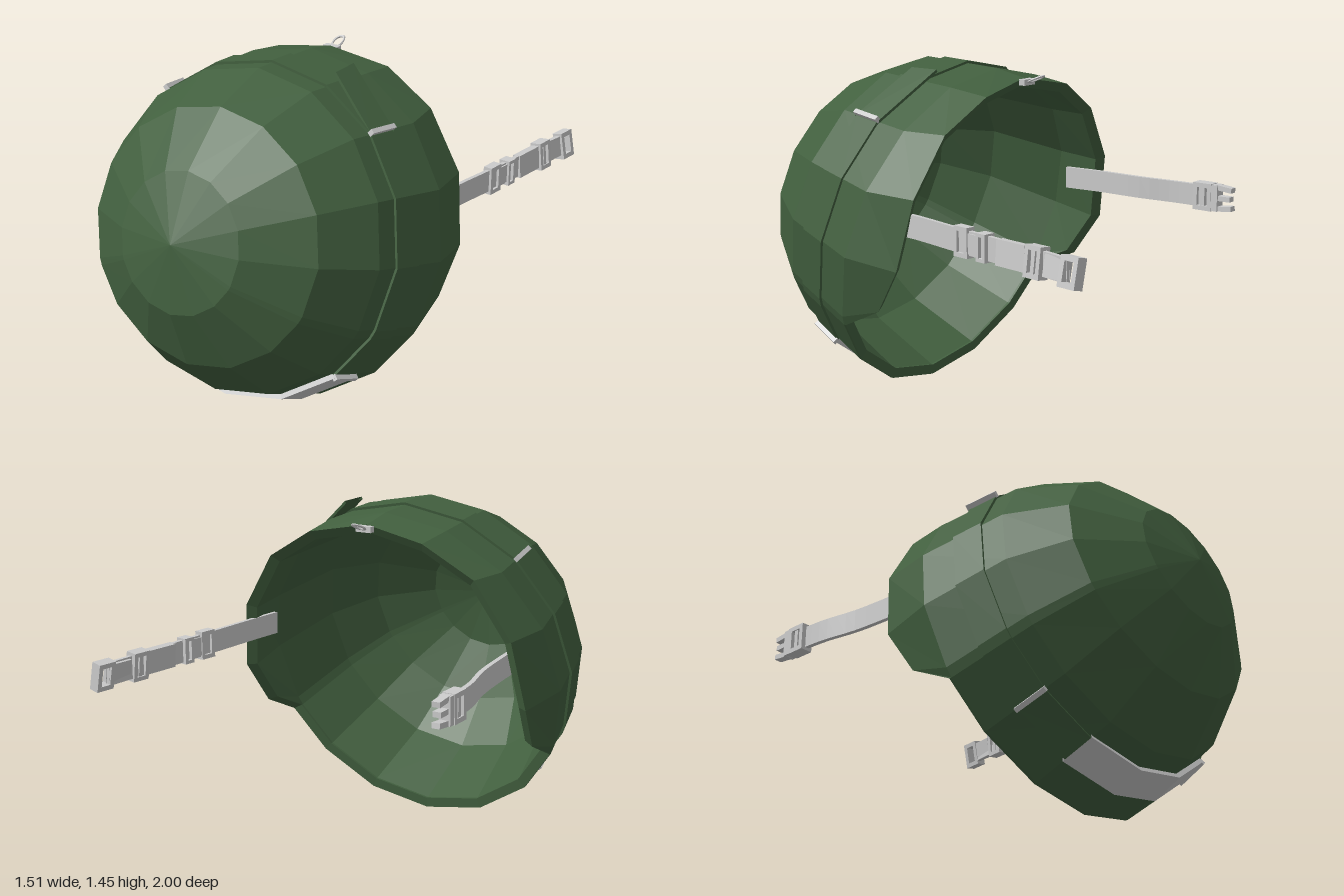
import * as THREE from 'three';

const V = (x, y, z) => new THREE.Vector3(x, y, z);
const green = new THREE.MeshStandardMaterial({ color: 0x42603f, flatShading: true, side: THREE.DoubleSide });
const grey = new THREE.MeshStandardMaterial({ color: 0xcccccc, flatShading: true, side: THREE.DoubleSide });
const CX = -0.02;
const CENTRE = V(CX, 0.75, 0.3);
const TILT = 0.265;

// Shell rings: x radius, tilted radius, centre y, centre z
const RINGS = [
  [0.275, 0.28, 0.90, 0.93],
  [0.525, 0.513, 0.865, 0.775],
  [0.66, 0.66, 0.805, 0.555],
  [0.73, 0.735, 0.71, 0.19],
];
// Half of the columns, measured in degrees from the crown towards the left ear
const HALF = [0, 22.5, 45, 67.5, 90, 112.5, 116, 135, 157.5, 180];
// Free edge for the columns above the ear: x, y, z
const EDGE = [[0, 1.39, -0.15], [0.27, 1.34, -0.17], [0.49, 1.21, -0.14],
  [0.645, 0.97, -0.11], [0.69, 0.68, -0.055], [0.665, 0.49, 0.07]];
const ANGLES = [...HALF, ...HALF.slice(1, -1).reverse().map(a => 360 - a)];

function ringPoint([rx, rt, cy, cz], deg) {
  const a = THREE.MathUtils.degToRad(deg);
  const u = rt * Math.cos(a);
  return V(CX + rx * Math.sin(a), cy + u * Math.cos(TILT), cz - u * Math.sin(TILT));
}

function edgePoint(deg) {
  const mirrored = deg > 180;
  const i = HALF.indexOf(mirrored ? 360 - deg : deg);
  if (i >= EDGE.length) return ringPoint(RINGS[3], deg).add(V(0, 0, -0.012));
  const [x, y, z] = EDGE[i];
  return V(CX + (mirrored ? -x : x), y, z);
}

const swell = (p, s) => p.clone().sub(CENTRE).multiplyScalar(s).add(CENTRE);

// Point on the facets between the two widest rings
function bandPoint(deg, t, s) {
  return swell(ringPoint(RINGS[2], deg).lerp(ringPoint(RINGS[3], deg), t), s);
}

// Skin a list of rows of points
function loft(rows, closed = true) {
  const n = rows[0].length;
  const pos = rows.flat().flatMap(p => p.toArray());
  const idx = [];
  for (let i = 0; i < rows.length - 1; i++) {
    for (let j = 0; j < (closed ? n : n - 1); j++) {
      const k = (j + 1) % n;
      const a = i * n + j, b = i * n + k, c = a + n, d = b + n;
      idx.push(a, b, d, a, d, c);
    }
  }
  const g = new THREE.BufferGeometry();
  g.setAttribute('position', new THREE.Float32BufferAttribute(pos, 3));
  g.setIndex(idx);
  g.computeVertexNormals();
  return g;
}

function add(parent, name, geometry, material, x = 0, y = 0, z = 0) {
  const m = new THREE.Mesh(geometry, material);
  m.name = name;
  m.position.set(x, y, z);
  parent.add(m);
  return m;
}

const box = (x, y, z) => new THREE.BoxGeometry(x, y, z);

// Rectangular frame, long sides along z and y, thin along x
function frame(len, high, thick, wall) {
  const s = new THREE.Shape();
  s.moveTo(-len / 2, -high / 2).lineTo(len / 2, -high / 2).lineTo(len / 2, high / 2).lineTo(-len / 2, high / 2);
  const a = len / 2 - wall, b = high / 2 - wall;
  const h = new THREE.Path();
  h.moveTo(-a, -b).lineTo(-a, b).lineTo(a, b).lineTo(a, -b);
  s.holes.push(h);
  return new THREE.ExtrudeGeometry(s, { depth: thick, bevelEnabled: false })
    .translate(0, 0, -thick / 2).rotateY(Math.PI / 2);
}

// Flat webbing swept along a curve, standing on its edge
function webbing(curve, high, thick, steps) {
  const rows = curve.getPoints(steps).map(p =>
    [[-1, -1], [-1, 1], [1, 1], [1, -1]].map(([a, b]) => V(p.x + a * thick / 2, p.y + b * high / 2, p.z)));
  return loft(rows);
}

export function createModel() {
  const model = new THREE.Group();
  model.name = 'helmet';

  // Shell: outer skin, rim and inner skin in one loft
  const outer = [
    ANGLES.map(() => V(CX, 0.915, 0.985)),
    ...RINGS.map(r => ANGLES.map(a => ringPoint(r, a))),
    ANGLES.map(edgePoint),
  ];
  const inner = outer.map(row => row.map(p => swell(p, 0.94))).reverse();
  add(model, 'shell', loft([...outer, ...inner]), green);

  // Band around the shell
  const strip = (angles, t0, t1, s, closed) => loft([[t0, 0.99], [t0, s], [t1, s], [t1, 0.99]]
    .map(([t, k]) => angles.map(a => bandPoint(a, t, k))), closed);
  add(model, 'band', strip(ANGLES, 0.25, 0.59, 1.016, true), green);
  add(model, 'browWebbing', strip([135, 157.5, 180, 203.5], 0.23, 0.61, 1.03, false), grey);

  // Loose end of the band, lifting off the shell
  const flapRoot = [bandPoint(46, 0.25, 1.02), bandPoint(46, 0.6, 1.02)];
  const flapTip = [V(0.245, 1.43, 0.235), V(0.245, 1.43, 0.1)];
  const thicken = ([a, b]) => [a, b, b.clone().add(V(-0.006, -0.01, 0)), a.clone().add(V(-0.006, -0.01, 0))];
  add(model, 'bandFlap', loft([thicken(flapRoot), thicken(flapTip)]), green);

  // Clips on the band
  for (const a of [45, 135, 225, 315]) {
    const p = bandPoint(a, 0.42, 1.025);
    const axial = bandPoint(a, 0.7, 1).sub(bandPoint(a, 0.2, 1)).normalize();
    const along = ringPoint(RINGS[3], a + 2).sub(ringPoint(RINGS[3], a - 2)).normalize();
    const out = along.clone().cross(axial).normalize();
    const clip = add(model, 'bandClip', box(0.02, 0.145, 0.025), grey);
    clip.quaternion.setFromRotationMatrix(new THREE.Matrix4().makeBasis(along, axial, out));
    clip.position.copy(p);
  }

  // Hanging loop at the back of the crown
  add(model, 'loopBase', box(0.07, 0.025, 0.03), grey, CX, 1.375, -0.165);
  const loop = add(model, 'loop', new THREE.TorusGeometry(0.024, 0.005, 5, 14).scale(0.9, 1.6, 1), grey, CX, 1.39, -0.213);
  loop.rotation.x = -Math.PI / 2 + 0.4;

  // Left chin strap with its adjusters and socket buckle
  const left = new THREE.Group();
  left.name = 'leftStrap';
  model.add(left);
  const leftCurve = new THREE.CatmullRomCurve3([V(0.59, 0.86, 0.06), V(0.605, 0.86, -0.1), V(0.64, 0.853, -0.35),
    V(0.665, 0.848, -0.55), V(0.695, 0.842, -0.8), V(0.715, 0.838, -0.93)]);
  add(left, 'leftWebbing', webbing(leftCurve, 0.095, 0.018, 18), grey);
  const onStrap = (name, geometry, z, twist = 0, out = 0) => {
    const m = add(left, name, geometry, grey, 0.64 + (-0.35 - z) * 0.128 + out, 0.853 + (z + 0.35) * 0.026, z);
    m.rotation.set(0, -0.13, twist);
  };
  onStrap('adjusterFrame', frame(0.075, 0.12, 0.04, 0.018), -0.385);
  onStrap('adjusterBar', box(0.03, 0.08, 0.075), -0.45);
  onStrap('adjusterFrame', frame(0.05, 0.11, 0.05, 0.014), -0.5);
  onStrap('foldedWebbing', box(0.035, 0.1, 0.15), -0.65, 0.08);
  onStrap('slider', frame(0.08, 0.122, 0.05, 0.018), -0.77, 0.12);
  onStrap('sliderBar', box(0.04, 0.1, 0.018), -0.77, 0.12);
  onStrap('socketNeck', box(0.03, 0.085, 0.09), -0.865, 0.18);
  onStrap('socket', frame(0.085, 0.118, 0.045, 0.02), -0.95, 0.2, 0.005);

  // Right chin strap with its pronged buckle
  const right = new THREE.Group();
  right.name = 'rightStrap';
  model.add(right);
  const rightCurve = new THREE.CatmullRomCurve3([V(-0.61, 0.86, 0.06), V(-0.625, 0.86, -0.12), V(-0.645, 0.855, -0.32),
    V(-0.68, 0.85, -0.48), V(-0.692, 0.848, -0.63)]);
  add(right, 'rightWebbing', webbing(rightCurve, 0.095, 0.02, 14), grey);
  add(right, 'prongBody', frame(0.09, 0.12, 0.055, 0.02), grey, -0.692, 0.848, -0.625);
  add(right, 'prongBar', box(0.045, 0.1, 0.02), grey, -0.692, 0.848, -0.625);
  add(right, 'prongBase', box(0.05, 0.115, 0.03), grey, -0.692, 0.848, -0.685);
  for (const s of [-1, 0, 1]) {
    const prong = add(right, 'prong', box(0.035, 0.022, s ? 0.08 : 0.065), grey, -0.692, 0.848 + s * 0.044, -0.725);
    prong.rotation.x = s * -0.1;
  }
  return model;
}
